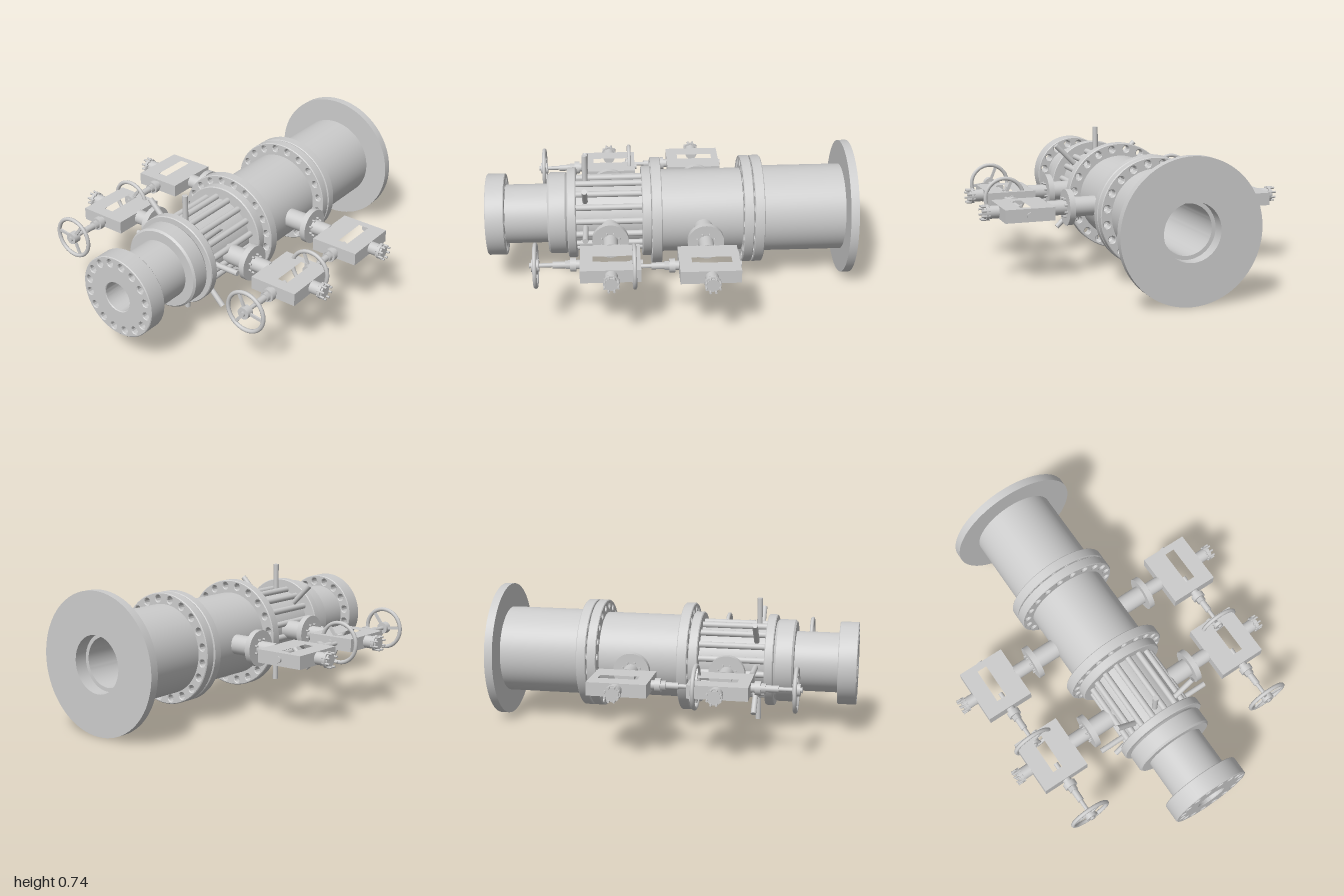
import * as THREE from 'three';
import { toCreasedNormals } from 'three/addons/utils/BufferGeometryUtils.js';

const AXIS_Y = 0.37;
const grey = new THREE.MeshStandardMaterial({ color: 0xcccccc });
const yellow = new THREE.MeshStandardMaterial({ color: 0xd8cf8a });

function add(parent, name, geometry, material = grey) {
  const mesh = new THREE.Mesh(geometry, material);
  mesh.name = name;
  parent.add(mesh);
  return mesh;
}

// Cylinder lying along x or z between two positions on that axis
function rod(axis, from, to, radius, sides = 32) {
  const g = new THREE.CylinderGeometry(radius, radius, to - from, sides);
  if (axis === 'x') return g.rotateZ(-Math.PI / 2).translate((from + to) / 2, 0, 0);
  return g.rotateX(Math.PI / 2).translate(0, 0, (from + to) / 2);
}

// Flat ring around z with a bore, a circle of bolt holes and softened edges
function flange(z0, z1, radius, bore, count, circle, hole) {
  const shape = new THREE.Shape().absarc(0, 0, radius, 0, Math.PI * 2);
  shape.holes.push(new THREE.Path().absarc(0, 0, bore, 0, Math.PI * 2, true));
  for (let i = 0; i < count; i++) {
    const a = ((i + 0.5) / count) * Math.PI * 2;
    const x = Math.cos(a) * circle, y = Math.sin(a) * circle;
    shape.holes.push(new THREE.Path().absarc(x, y, hole, 0, Math.PI * 2, true));
  }
  const b = 0.004;
  const g = new THREE.ExtrudeGeometry(shape, {
    depth: z1 - z0 - 2 * b, curveSegments: 36,
    bevelThickness: b, bevelSize: b, bevelOffset: -b, bevelSegments: 1,
  }).translate(0, 0, z0 + b);
  return toCreasedNormals(g, 0.6);
}

// Ring of small studs around the x axis
function studs(parent, x0, x1, circle, count, radius) {
  for (let i = 0; i < count; i++) {
    const a = ((i + 0.5) / count) * Math.PI * 2;
    const m = add(parent, 'stud', rod('x', x0, x1, radius, 8));
    m.position.set(0, Math.cos(a) * circle, Math.sin(a) * circle);
  }
}

// Handwheel facing z, centred on the origin
function handwheel() {
  const g = new THREE.Group();
  g.name = 'handwheel';
  add(g, 'wheelRim', new THREE.TorusGeometry(0.108, 0.011, 10, 48));
  add(g, 'wheelHub', rod('z', -0.018, 0.022, 0.032, 24));
  add(g, 'wheelNut', rod('z', 0.02, 0.032, 0.015, 6));
  for (let i = 0; i < 3; i++) {
    const spoke = add(g, 'wheelSpoke', new THREE.BoxGeometry(0.016, 0.09, 0.01).translate(0, 0.065, 0));
    spoke.rotation.z = (i / 3) * Math.PI * 2 + 0.4;
  }
  return g;
}

// Side outlet with a gate valve, pointing along +x
function sideValve() {
  const g = new THREE.Group();
  add(g, 'outletNeck', rod('x', 0.15, 0.36, 0.053));
  add(g, 'outletFlange', rod('x', 0.355, 0.387, 0.097, 48));
  studs(g, 0.385, 0.402, 0.05, 8, 0.006);
  add(g, 'inletPipe', rod('x', 0.38, 0.49, 0.04));

  // Flat gate housing with a through slot, extruded downwards from the xz plane
  const housing = new THREE.Shape([[0.485, -0.33], [0.752, -0.33], [0.752, -0.02], [0.485, -0.02]]
    .map(([x, z]) => new THREE.Vector2(x, -z)));
  housing.holes.push(new THREE.Path([[0.605, -0.29], [0.662, -0.29], [0.662, -0.085], [0.605, -0.085]]
    .map(([x, z]) => new THREE.Vector2(x, -z))));
  add(g, 'gateHousing', new THREE.ExtrudeGeometry(housing, { depth: 0.07, bevelEnabled: false })
    .rotateX(-Math.PI / 2).translate(0, -0.035, 0));

  // Free end with its bolted collar
  add(g, 'endPipe', rod('x', 0.745, 0.832, 0.034));
  add(g, 'endCollar', rod('x', 0.808, 0.822, 0.042));
  studs(g, 0.802, 0.848, 0.037, 8, 0.006);

  // Spindle, bonnet and wheel
  const spindle = new THREE.Group();
  spindle.name = 'spindle';
  spindle.position.x = 0.62;
  add(spindle, 'spindleTip', rod('z', -0.125, 0, 0.013, 16));
  add(spindle, 'bonnet', rod('z', -0.022, 0, 0.024, 24));
  add(spindle, 'bonnetCollar', rod('z', 0, 0.03, 0.036, 24));
  add(spindle, 'glandNut', rod('z', 0.03, 0.055, 0.026, 6));
  add(spindle, 'yokeSleeve', rod('z', 0.05, 0.12, 0.018, 16));
  add(spindle, 'stem', rod('z', 0.1, 0.21, 0.011, 16));
  add(spindle, 'rearPlug', rod('z', -0.342, -0.325, 0.018, 6));
  const wheel = handwheel();
  wheel.position.z = 0.207;
  spindle.add(wheel);
  g.add(spindle);
  return g;
}

export function createModel() {
  const model = new THREE.Group();
  model.name = 'wellheadAssembly';
  const body = new THREE.Group();
  body.name = 'body';
  body.position.y = AXIS_Y;
  model.add(body);

  // Stepped hollow barrel: outer wall back to front, then the bore front to back
  const profile = [
    [0.15, -1], [0.37, -1], [0.37, -0.955], [0.238, -0.955], [0.238, -0.45],
    [0.228, -0.45], [0.228, 0.1], [0.245, 0.1], [0.25, 0.105], [0.25, 0.147], [0.245, 0.152],
    [0.185, 0.152], [0.185, 0.51], [0.246, 0.51], [0.25, 0.515], [0.25, 0.553], [0.246, 0.558],
    [0.215, 0.558], [0.225, 0.57], [0.225, 0.655], [0.215, 0.665], [0.163, 0.665],
    [0.163, 0.95], [0.08, 0.95], [0.08, 0.2], [0.13, 0.2], [0.13, -0.93], [0.15, -0.93], [0.15, -1],
  ].map(([r, z]) => new THREE.Vector2(r, z));
  const barrel = new THREE.LatheGeometry(profile, 80).rotateX(Math.PI / 2);
  add(body, 'barrel', toCreasedNormals(barrel, 0.5));

  // Bolted flanges
  add(body, 'lowerFlange', flange(-0.507, -0.453, 0.297, 0.23, 20, 0.266, 0.018));
  add(body, 'middleFlange', flange(-0.447, -0.395, 0.297, 0.22, 20, 0.266, 0.018));
  add(body, 'upperFlange', flange(0.046, 0.102, 0.297, 0.22, 20, 0.266, 0.018));
  add(body, 'frontFlange', flange(0.898, 1, 0.225, 0.08, 16, 0.19, 0.019));

  // Coloured plug deep inside the bore
  add(body, 'borePlug', rod('z', 0.2, 0.24, 0.0805), yellow);
  add(body, 'borePlugRing', new THREE.TorusGeometry(0.056, 0.005, 8, 40), yellow).position.z = 0.24;

  // Tie rods around the ribbed section
  for (let i = 0; i < 16; i++) {
    const a = ((i + 0.5) / 16) * Math.PI * 2;
    add(body, 'tieRod', rod('z', 0.14, 0.52, 0.017, 20))
      .position.set(Math.cos(a) * 0.195, Math.sin(a) * 0.195, 0);
  }

  // Radial lock pins
  for (let i = 0; i < 8; i++) {
    const pin = add(body, 'lockPin', rod('x', 0.16, 0.343, 0.015, 20));
    pin.position.z = 0.46;
    pin.rotation.z = (i / 8) * Math.PI * 2;
  }

  // Two valves on each side, the front pair set slightly closer in
  for (const [side, angle] of [['left', 0], ['right', Math.PI]]) {
    const pair = new THREE.Group();
    pair.name = side + 'Valves';
    pair.rotation.z = angle;
    for (const [name, dx, dz] of [['rearValve', 0, 0], ['frontValve', -0.035, 0.505]]) {
      const valve = sideValve();
      valve.name = name;
      valve.position.set(dx, 0, dz);
      // Outlet and pipe parts sit on the housing's centre line
      for (const part of valve.children) {
        if (part.name !== 'gateHousing' && part.name !== 'spindle') part.position.z -= 0.178;
      }
      pair.add(valve);
    }
    body.add(pair);
  }
  return model;
}
